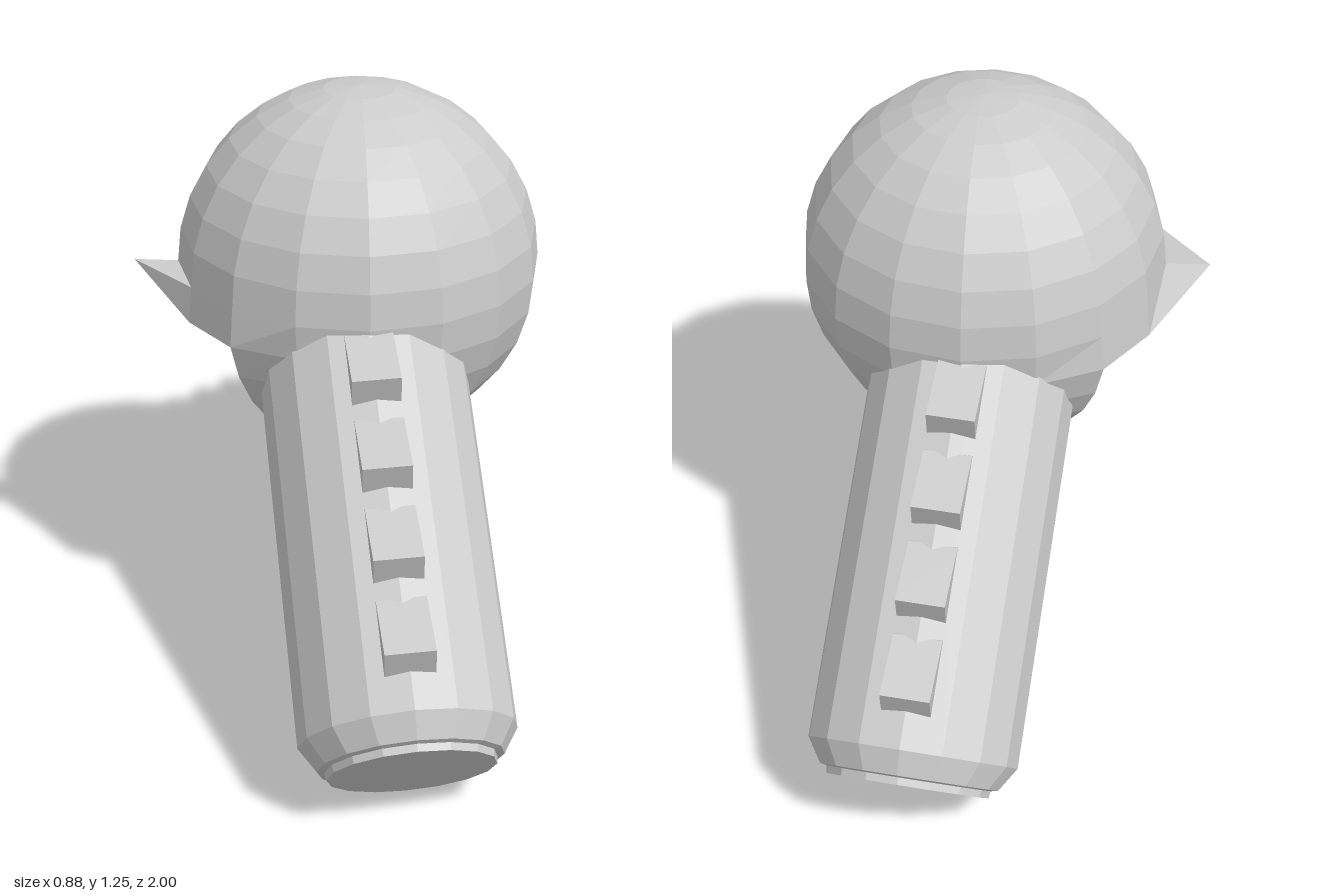
import * as THREE from 'three';

const CENTER = new THREE.Vector3(0.045, 0.86, 0);
const R = 0.395, RIM = 0.41, N = 16;

// mouth opening: rows and columns of the ball grid
const TOP = 9, BOTTOM = 14, LEFT = 6, RIGHT = 10;

const material = () => new THREE.MeshStandardMaterial({
  color: 0xcccccc, flatShading: true, side: THREE.DoubleSide,
});

// point on a sphere grid, column 8 facing -x
function gridPoint(row, col, r) {
  const t = row * Math.PI / N, p = col * 2 * Math.PI / N;
  return new THREE.Vector3(
    r * Math.sin(t) * Math.cos(p), r * Math.cos(t), -r * Math.sin(t) * Math.sin(p)).add(CENTER);
}

const inMouth = (row, col) => row >= TOP && row < BOTTOM && col >= LEFT && col < RIGHT;

// outer surface, with a raised mouth rim and a pointed upper lip
function skin(row, col) {
  if (row === TOP && col === 8) return new THREE.Vector3(-0.445, 0.865, 0);
  const onRim = row >= TOP && row <= BOTTOM && col >= LEFT && col <= RIGHT;
  return gridPoint(row, col, onRim ? RIM : R);
}

// recessed surface inside the mouth
const floor = (row, col) =>
  gridPoint(row, col, 0.33 + 0.035 * (row - TOP) / (BOTTOM - TOP));

function quadMesh(name, quads) {
  const pts = [];
  for (const [a, b, c, d] of quads) pts.push(a, b, c, a, c, d);
  const geo = new THREE.BufferGeometry().setFromPoints(pts);
  geo.computeVertexNormals();
  const mesh = new THREE.Mesh(geo, material());
  mesh.name = name;
  return mesh;
}

const patch = (f, r, c) => [f(r + 1, c), f(r + 1, c + 1), f(r, c + 1), f(r, c)];

function createBall() {
  const ball = new THREE.Group();
  ball.name = 'ballBody';
  const outer = [], inner = [], walls = [];
  for (let r = 0; r < N; r++) {
    for (let c = 0; c < N; c++) {
      if (inMouth(r, c)) inner.push(patch(floor, r, c));
      else outer.push(patch(skin, r, c));
    }
  }
  // walls between the rim and the recess
  const wall = (r0, c0, r1, c1) =>
    walls.push([skin(r0, c0), skin(r1, c1), floor(r1, c1), floor(r0, c0)]);
  for (let c = LEFT; c < RIGHT; c++) {
    wall(TOP, c, TOP, c + 1);
    wall(BOTTOM, c + 1, BOTTOM, c);
  }
  for (let r = TOP; r < BOTTOM; r++) {
    wall(r + 1, LEFT, r, LEFT);
    wall(r, RIGHT, r + 1, RIGHT);
  }
  ball.add(quadMesh('ball', outer), quadMesh('mouthRecess', inner), quadMesh('mouthRim', walls));
  return ball;
}

// wedge stud: ramp rising toward the foot, then a steep end face
function studGeometry() {
  const shape = new THREE.Shape([
    [0.0, 0.17], [0.155, 0.17], [0.14, 0.215], [0.015, 0.27], [-0.015, 0.2],
  ].map(([x, y]) => new THREE.Vector2(x, y)));
  const geo = new THREE.ExtrudeGeometry(shape, { depth: 0.1, bevelEnabled: false });
  geo.translate(0, 0, -0.05);
  return geo.applyMatrix4(new THREE.Matrix4().makeBasis(
    new THREE.Vector3(0, 1, 0), new THREE.Vector3(0, 0, 1), new THREE.Vector3(1, 0, 0)));
}

// leg built from the foot (y = 0) up into the ball
function createLeg(name, side) {
  const leg = new THREE.Group();
  leg.name = name;
  const profile = [[0, 0], [0.17, 0], [0.172, 0.015], [0.187, 0.018], [0.22, 0.068], [0.22, 0.95], [0, 0.95]]
    .map(([x, y]) => new THREE.Vector2(x, y));
  const tube = new THREE.Mesh(new THREE.LatheGeometry(profile, 16), material());
  tube.name = 'legTube';
  leg.add(tube);

  // studs along the upper and lower faces
  const geo = studGeometry();
  for (const turn of [0, Math.PI]) {
    for (let i = 0; i < 4; i++) {
      const stud = new THREE.Mesh(geo, material());
      stud.name = turn ? 'lowerStud' : 'upperStud';
      stud.position.y = 0.15 + 0.187 * i;
      stud.rotation.y = turn;
      leg.add(stud);
    }
  }

  // lean the leg outward along z and slightly toward +x
  const up = new THREE.Vector3(-0.068, 0.656, -0.755 * side).normalize();
  const out = new THREE.Vector3(0, 0.755, 0.656 * side);
  const across = new THREE.Vector3().crossVectors(up, out).normalize();
  out.crossVectors(across, up);
  leg.quaternion.setFromRotationMatrix(new THREE.Matrix4().makeBasis(across, up, out));
  leg.position.set(0.1, 0.132, 0.887 * side);
  return leg;
}

export function createModel() {
  const model = new THREE.Group();
  model.name = 'ballWithLegs';
  model.add(createBall(), createLeg('frontLeg', 1), createLeg('backLeg', -1));
  return model;
}
